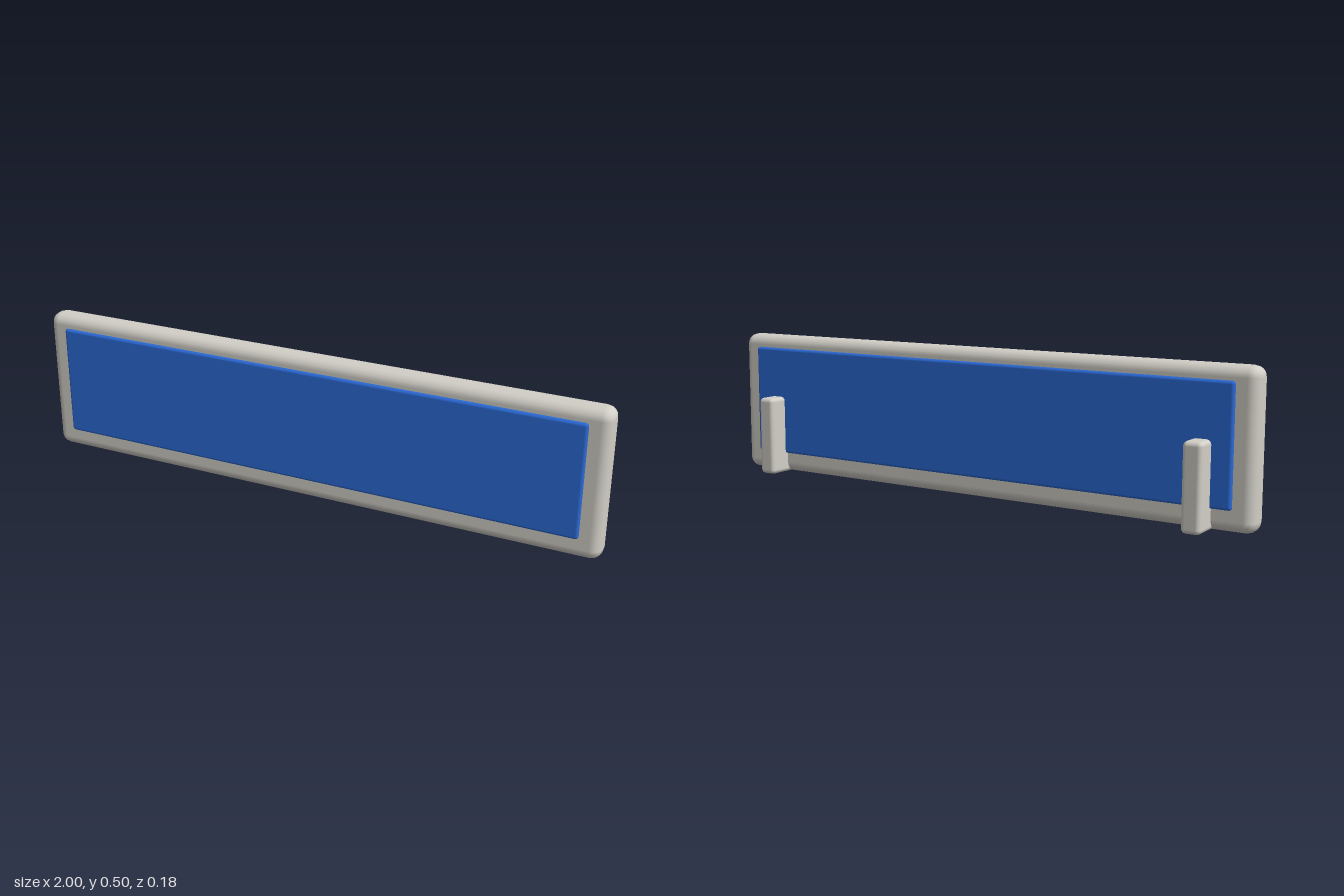
import * as THREE from 'three';
import { RoundedBoxGeometry } from 'three/addons/geometries/RoundedBoxGeometry.js';

export function createModel() {
  const group = new THREE.Group();
  group.name = 'signBoard';

  const grey = new THREE.MeshStandardMaterial({ color: 0xd2cfc7 });
  grey.name = 'warmGrey';
  const blue = new THREE.MeshStandardMaterial({ color: 0x2b6ad6 });
  blue.name = 'blue';

  // Rounded block given by its min and max corners
  function block(name, material, min, max, radius, segments) {
    const size = max.map((v, i) => v - min[i]);
    const mesh = new THREE.Mesh(new RoundedBoxGeometry(...size, segments, radius), material);
    mesh.position.set(...max.map((v, i) => (v + min[i]) / 2));
    mesh.name = name;
    group.add(mesh);
  }

  // Outer board
  block('frame', grey, [-1, 0, -0.01], [1, 0.5, 0.079], 0.036, 2);

  // Panel running through the board, standing proud on both faces
  block('panel', blue, [-0.93, 0.07, -0.021], [0.93, 0.455, 0.089], 0.01, 2);

  // Upright mounting posts at the back
  for (const [name, x] of [['leftPost', 0.832], ['rightPost', -0.832]]) {
    block(name, grey, [x - 0.032, 0, -0.089], [x + 0.032, 0.278, 0.025], 0.015, 2);
  }

  return group;
}
